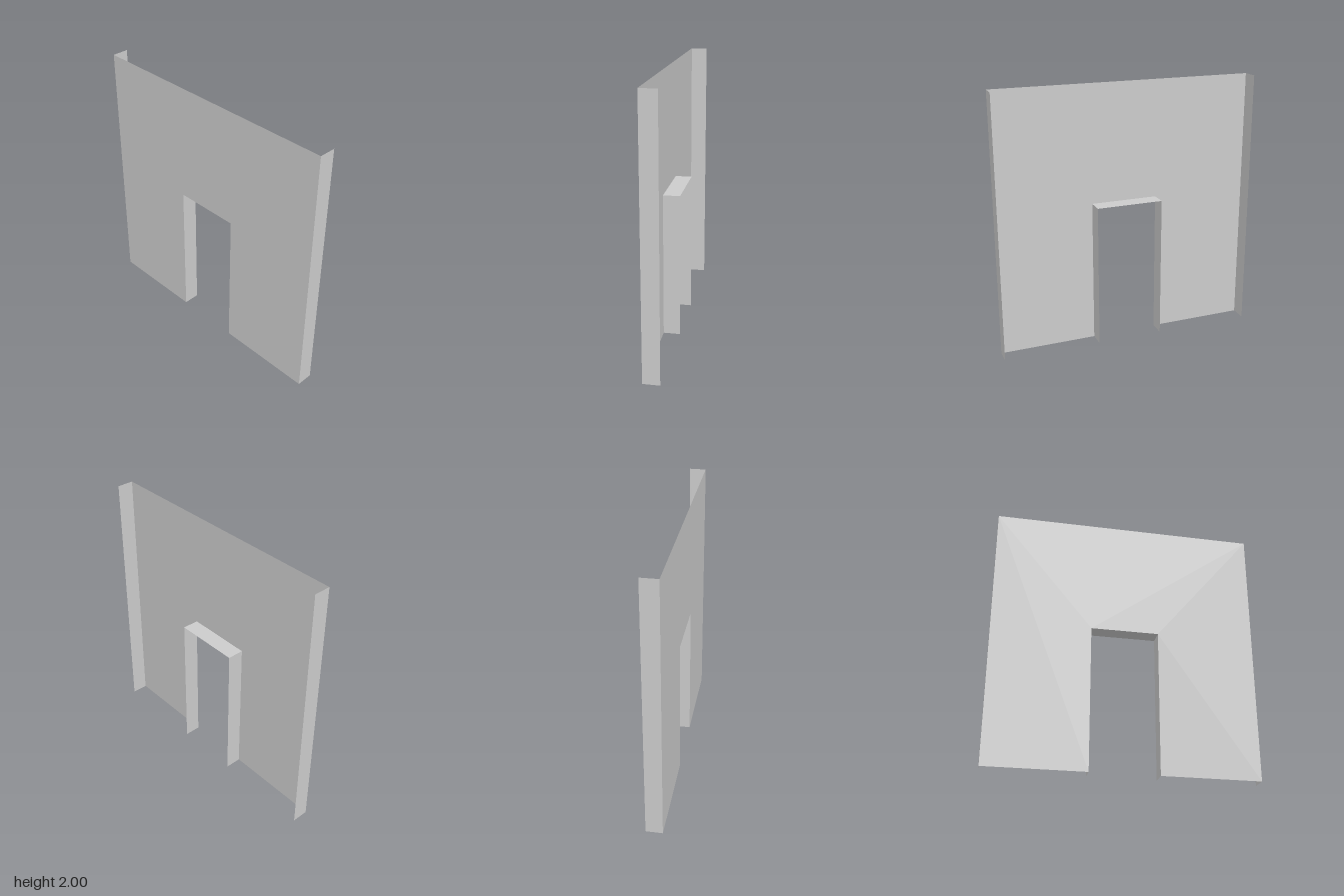
import * as THREE from 'three';

const HALF_W = 1, HEIGHT = 2, DEPTH = 0.125;
const DOOR_HALF = 0.255, DOOR_H = 1.1;

export function createModel() {
  const group = new THREE.Group();
  const material = new THREE.MeshStandardMaterial({
    color: 0xcccccc, side: THREE.DoubleSide, flatShading: true,
  });

  const add = (name, geometry) => {
    const mesh = new THREE.Mesh(geometry, material);
    mesh.name = name;
    group.add(mesh);
    return mesh;
  };

  // Front wall sheet, cut around the doorway
  const outline = new THREE.Shape([
    [-HALF_W, 0], [-DOOR_HALF, 0], [-DOOR_HALF, DOOR_H], [DOOR_HALF, DOOR_H],
    [DOOR_HALF, 0], [HALF_W, 0], [HALF_W, HEIGHT], [-HALF_W, HEIGHT],
  ].map(([x, y]) => new THREE.Vector2(x, y)));
  add('wallPanel', new THREE.ShapeGeometry(outline)).position.z = DEPTH / 2;

  // Upright returns running back from the sheet: outer ends and door jambs
  for (const [side, label] of [[1, 'left'], [-1, 'right']]) {
    const upright = (name, x, height, facing) => {
      const geometry = new THREE.PlaneGeometry(DEPTH, height).rotateY(facing * Math.PI / 2);
      add(name, geometry).position.set(x, height / 2, 0);
    };
    upright(`${label}EndReturn`, side * HALF_W, HEIGHT, side);
    upright(`${label}DoorJamb`, side * DOOR_HALF, DOOR_H, -side);
  }

  // Underside of the doorway head
  const head = new THREE.PlaneGeometry(2 * DOOR_HALF, DEPTH).rotateX(Math.PI / 2);
  add('doorHead', head).position.y = DOOR_H;

  return group;
}
